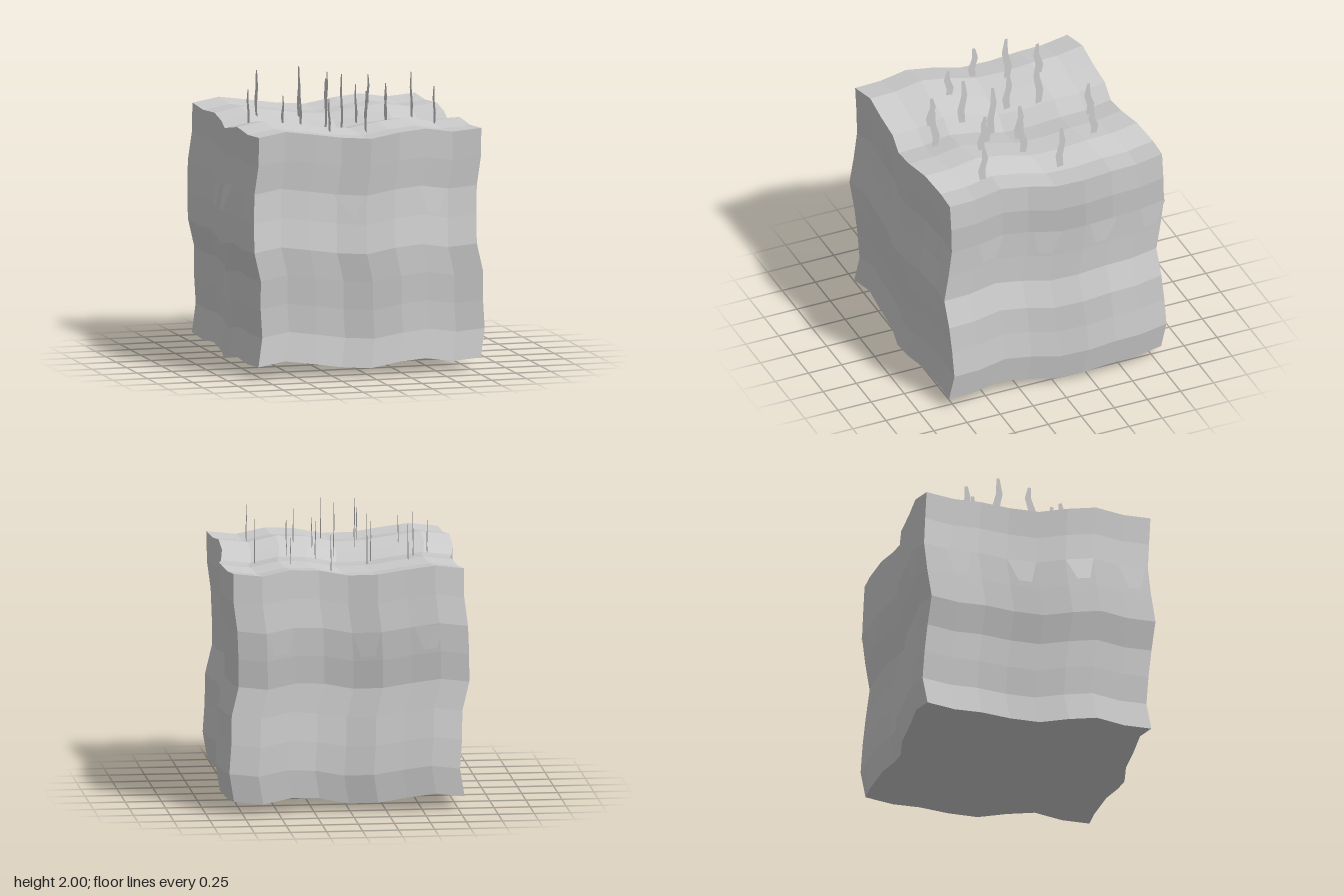
import * as THREE from 'three';

const SIZE = 1.6, SEG = 8, HALF = SIZE / 2;
const material = new THREE.MeshStandardMaterial({ color: 0xcccccc, flatShading: true });
const thinMaterial = new THREE.MeshStandardMaterial({ color: 0xcccccc, flatShading: true, side: THREE.DoubleSide });

// Wobble of each axis along the other two, sampled from -HALF to +HALF
const wave = {
  xAlongY: [0.01, 0.045, 0.03, 0.025, -0.025, -0.02, -0.01, 0.015, 0.015],
  xAlongZ: [0.0, 0.018, 0.038, 0.028, -0.008, -0.038, -0.038, -0.022, -0.002],
  yAlongX: [0.878, 0.907, 0.88, 0.85, 0.84, 0.877, 0.89, 0.855, 0.875],
  yAlongZ: [0.018, -0.002, 0.008, -0.017, -0.037, -0.002, 0.033, 0.008, 0.016],
  zAlongX: [-0.01, -0.035, -0.025, -0.025, 0.02, 0.03, 0, -0.03, -0.01],
  zAlongY: [0.01, -0.015, -0.005, 0.015, 0.03, 0, -0.02, -0.005, 0.005],
};

function sample(table, v) {
  const t = THREE.MathUtils.clamp(((v + HALF) / SIZE) * SEG, 0, SEG);
  const i = Math.min(Math.floor(t), SEG - 1);
  return THREE.MathUtils.lerp(table[i], table[i + 1], t - i);
}

// Moves a point of the plain cube to its place on the wobbly block
function warp(x, y, z) {
  return new THREE.Vector3(
    x + sample(wave.xAlongY, y) + sample(wave.xAlongZ, z),
    y + sample(wave.yAlongX, x) + sample(wave.yAlongZ, z),
    z + sample(wave.zAlongX, x) + sample(wave.zAlongY, y)
  );
}

// Flat strip from rows of [left, right] points
function strip(rows) {
  const points = rows.flat();
  const index = [];
  for (let i = 0; i < rows.length - 1; i++) {
    const a = i * 2;
    index.push(a, a + 1, a + 3, a, a + 3, a + 2);
  }
  const g = new THREE.BufferGeometry().setFromPoints(points);
  g.setIndex(index);
  g.computeVertexNormals();
  return g;
}

function makeBlock() {
  const g = new THREE.BoxGeometry(SIZE, SIZE, SIZE, SEG, SEG, SEG).toNonIndexed();
  const p = g.attributes.position;
  for (let i = 0; i < p.count; i++) {
    const v = warp(p.getX(i), p.getY(i), p.getZ(i));
    p.setXYZ(i, v.x, v.y, v.z);
  }
  g.computeVertexNormals();
  const mesh = new THREE.Mesh(g, material);
  mesh.name = 'earthBlock';
  return mesh;
}

// Hanging turf tabs, placed along each side of the block
function makeTurfTabs() {
  const group = new THREE.Group();
  group.name = 'turfFringe';
  const sides = [
    { place: (u, y, d) => warp(u, y, HALF + d), tabs: [[-0.12, 0.008], [0.49, 0.008]] },
    { place: (u, y, d) => warp(u, y, -HALF - d), tabs: [[0.5, 0.01], [-0.1, 0.01], [-0.53, 0.01]] },
    { place: (u, y, d) => warp(HALF + d, y, u), tabs: [[0.49, 0.01], [0.07, 0.01], [-0.33, 0.01], [-0.71, 0.01]] },
    { place: (u, y, d) => warp(-HALF - d, y, u), tabs: [[-0.55, 0.01], [-0.1, 0.03], [0.3, 0.05], [0.68, 0.015]] },
  ];
  for (const { place, tabs } of sides) {
    for (const [u, out] of tabs) {
      const g = strip([
        [place(u - 0.1, 0.4, 0.003), place(u + 0.1, 0.4, 0.003)],
        [place(u - 0.045, 0.23, out), place(u + 0.045, 0.23, out)],
      ]);
      const tab = new THREE.Mesh(g, thinMaterial);
      tab.name = 'turfTab';
      group.add(tab);
    }
  }
  return group;
}

// Upright wavy blades, each flat across x: [x, z, tip height]
function makeGrass() {
  const group = new THREE.Group();
  group.name = 'grass';
  const blades = [
    [-0.62, -0.02, 1.9], [-0.45, 0.24, 1.89], [-0.19, 0.49, 1.89], [-0.5, -0.22, 2],
    [-0.15, 0.27, 2], [0.05, 0.57, 1.95], [-0.22, -0.1, 1.91], [-0.44, -0.43, 1.94],
    [0.01, 0.12, 2], [0.15, 0.23, 1.88], [0.27, 0.31, 1.93], [-0.17, -0.31, 2],
    [0.155, -0.02, 1.9], [0.35, 0.04, 1.91], [0.58, 0.44, 1.94], [0.11, -0.57, 1.91],
    [0.59, -0.14, 1.95], [0.38, -0.48, 1.89],
  ];
  const bends = [0, -0.012, 0.014, 0.004];
  const halfWidths = [0.022, 0.027, 0.023, 0.011];
  blades.forEach(([x, z, tip], n) => {
    const base = warp(x, HALF, z).y - 0.02;
    const flip = n % 2 ? 1 : -1;
    const rows = bends.map((b, i) => {
      const y = THREE.MathUtils.lerp(base, tip, i / 3);
      return [-1, 1].map((s) => new THREE.Vector3(x, y, z + b * flip + s * halfWidths[i]));
    });
    const blade = new THREE.Mesh(strip(rows), thinMaterial);
    blade.name = 'grassBlade';
    group.add(blade);
  });
  return group;
}

export function createModel() {
  const model = new THREE.Group();
  model.name = 'grassyBlock';
  model.add(makeBlock(), makeTurfTabs(), makeGrass());
  return model;
}
